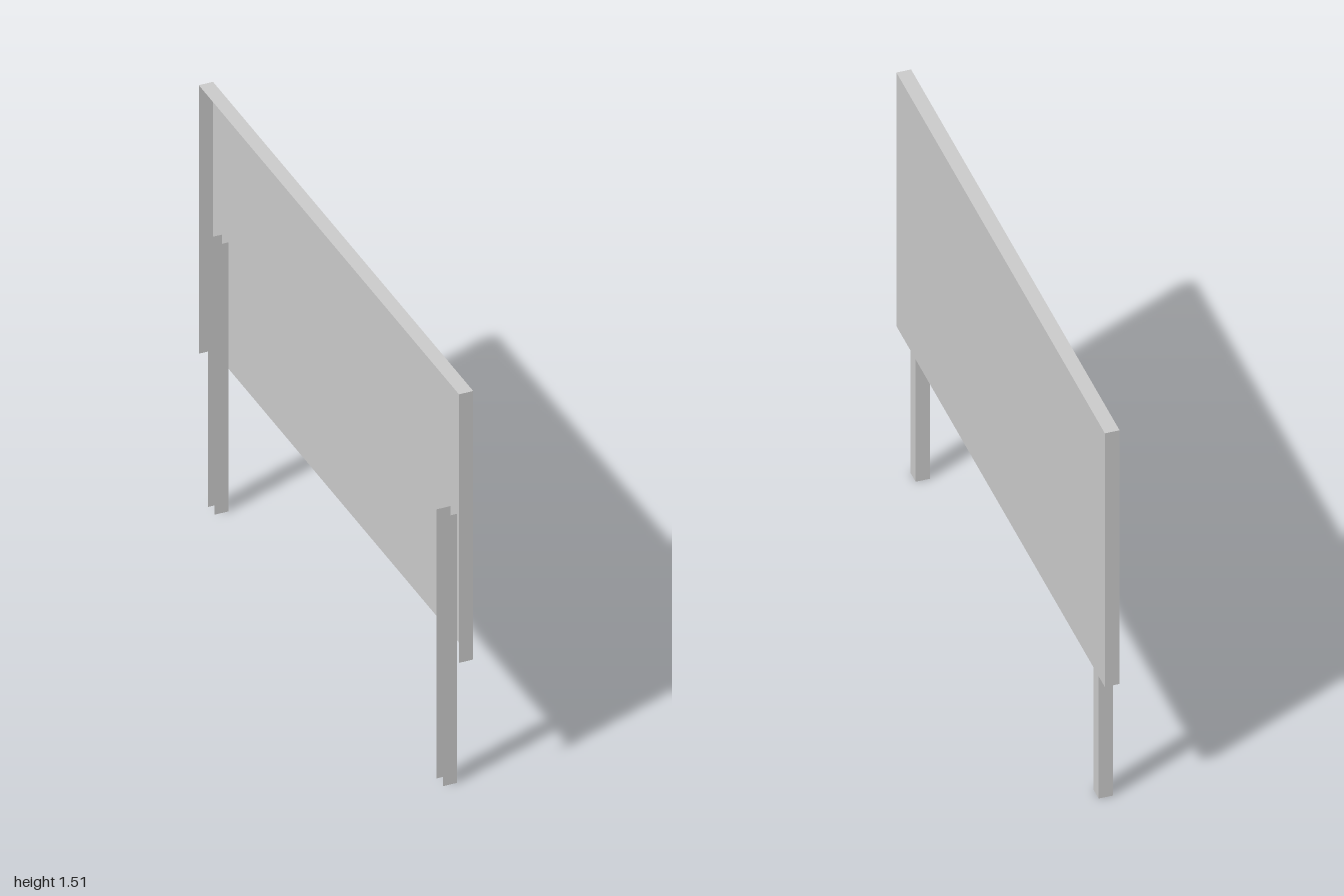
import * as THREE from 'three';

const sheetMaterial = new THREE.MeshStandardMaterial({ color: 0xcccccc, side: THREE.DoubleSide, flatShading: true });

// Thin sheet facing along one axis: w and h are its sides, pos its centre
function sheet(name, axis, w, h, pos) {
  const geometry = new THREE.PlaneGeometry(w, h);
  if (axis === 'x') geometry.rotateY(Math.PI / 2);
  if (axis === 'y') geometry.rotateX(-Math.PI / 2);
  const mesh = new THREE.Mesh(geometry, sheetMaterial);
  mesh.name = name;
  mesh.position.set(...pos);
  return mesh;
}

export function createModel() {
  const model = new THREE.Group();
  model.name = 'signBoard';

  // Board: a sheet folded back along its top and both ends, open below
  const bottom = 0.512, top = 1.512, face = 0.03, depth = 0.049;
  const midY = (bottom + top) / 2, midX = face - depth / 2;
  const board = new THREE.Group();
  board.name = 'board';
  board.add(
    sheet('boardFace', 'x', 2, top - bottom, [face, midY, 0]),
    sheet('topFlange', 'y', depth, 2, [midX, top, 0])
  );
  for (const s of [1, -1]) {
    board.add(sheet('endFlange', 'z', depth, top - bottom, [midX, midY, s]));
  }
  model.add(board);

  // Posts: U-shaped channels, open towards the rear of the board
  const height = 1.002, web = 0.017, flange = 0.048, width = 0.05;
  for (const s of [1, -1]) {
    const post = new THREE.Group();
    post.name = s > 0 ? 'frontPost' : 'backPost';
    post.position.z = s * 0.878;
    post.add(sheet('postWeb', 'x', width, height, [web, height / 2, 0]));
    for (const e of [1, -1]) {
      post.add(sheet('postFlange', 'z', flange, height, [web - flange / 2, height / 2, e * width / 2]));
    }
    model.add(post);
  }
  return model;
}
